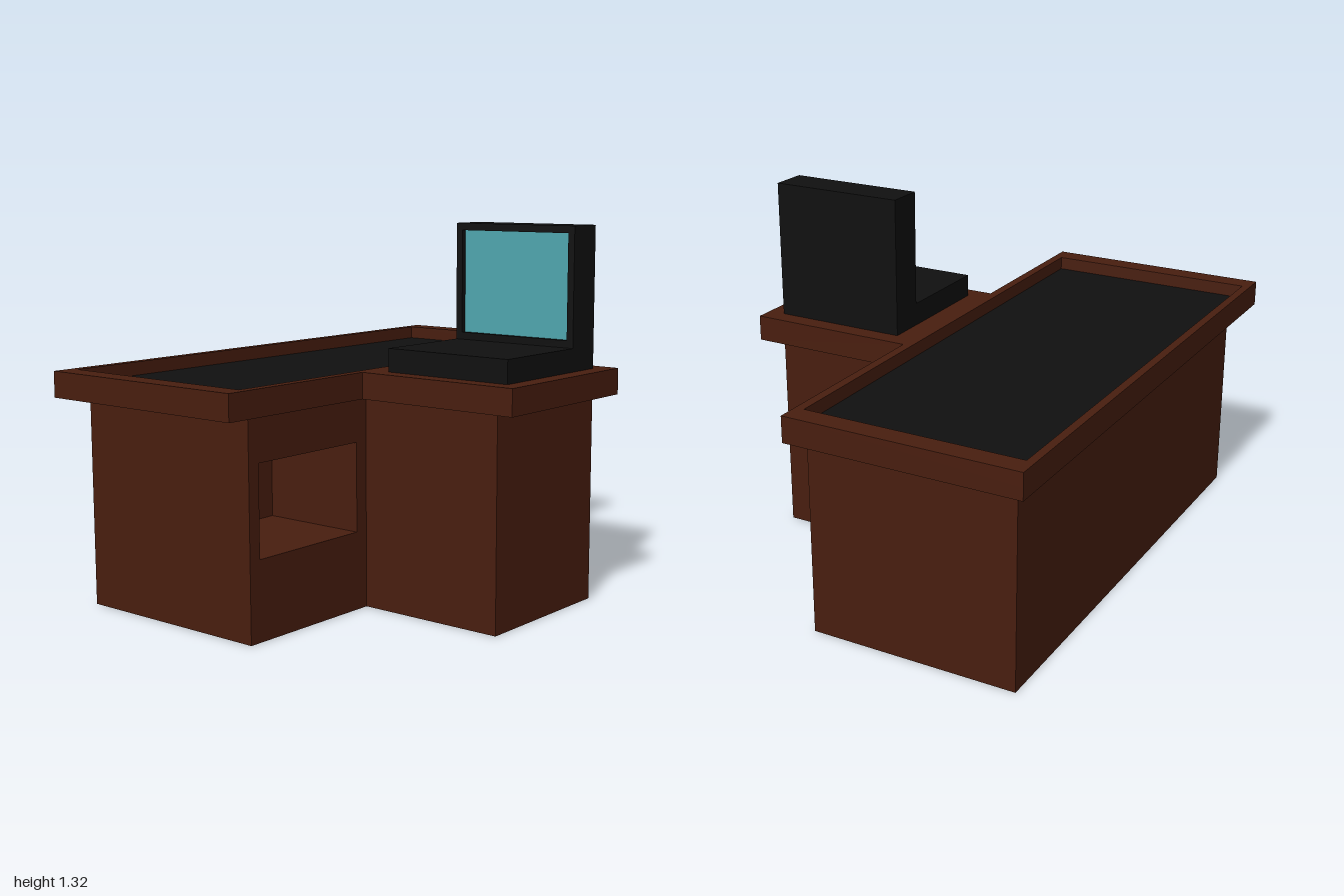
import * as THREE from 'three';

const wood = new THREE.MeshStandardMaterial({ color: 0x491e0f });
const black = new THREE.MeshStandardMaterial({ color: 0x101010 });
const teal = new THREE.MeshStandardMaterial({ color: 0x50a8b0 });

// Box given by its extents along each axis
function box(name, [x0, x1], [y0, y1], [z0, z1], material) {
  const geometry = new THREE.BoxGeometry(x1 - x0, y1 - y0, z1 - z0);
  geometry.translate((x0 + x1) / 2, (y0 + y1) / 2, (z0 + z1) / 2);
  const mesh = new THREE.Mesh(geometry, material);
  mesh.name = name;
  return mesh;
}

function rectangle(PathType, [u0, u1], [v0, v1]) {
  return new PathType([[u0, v0], [u1, v0], [u1, v1], [u0, v1]].map(p => new THREE.Vector2(...p)));
}

// Block with a rectangular pocket sunk into its local +z face
function pocketBlock(name, u, v, [w0, w1], pocketU, pocketV, depth, material, floorMaterial) {
  const group = new THREE.Group();
  group.name = name;
  const floor = w1 - depth;
  const shape = rectangle(THREE.Shape, u, v);
  shape.holes.push(rectangle(THREE.Path, pocketU, pocketV));
  const rim = new THREE.Mesh(new THREE.ExtrudeGeometry(shape, { depth, bevelEnabled: false }), material);
  rim.name = name + 'Rim';
  rim.position.z = floor;
  group.add(rim, box(name + 'Back', u, v, [w0, floor], material));
  if (floorMaterial) {
    const panel = new THREE.Mesh(
      new THREE.PlaneGeometry(pocketU[1] - pocketU[0], pocketV[1] - pocketV[0]), floorMaterial);
    panel.name = name + 'Panel';
    panel.position.set((pocketU[0] + pocketU[1]) / 2, (pocketV[0] + pocketV[1]) / 2, floor + 0.002);
    group.add(panel);
  }
  return group;
}

export function createModel() {
  const model = new THREE.Group();
  model.name = 'deskWithComputer';

  // Main cabinet with an open cubby in its front
  model.add(pocketBlock('cabinet', [-0.91, 0.88], [0, 0.735], [-0.652, 0.105],
    [-0.865, -0.39], [0.275, 0.588], 0.4, wood));

  // Main top with a sunken black writing surface
  const top = pocketBlock('deskTop', [-1, 1], [-0.113, 0.73], [0.735, 0.827],
    [-0.922, 0.922], [-0.08, 0.7], 0.05, wood, black);
  top.rotation.x = -Math.PI / 2;
  model.add(top);

  // Side wing
  model.add(box('wingCabinet', [-0.34, 0.23], [0, 0.735], [0.105, 0.655], wood));
  model.add(box('wingTop', [-0.367, 0.275], [0.735, 0.827], [0.113, 0.73], wood));

  // Computer, with its screen facing -x
  model.add(box('keyboard', [-0.305, 0.078], [0.827, 0.908], [0.177, 0.668], black));
  const monitor = pocketBlock('monitor', [0.177, 0.668], [0.827, 1.32], [-0.21, -0.078],
    [0.202, 0.643], [0.933, 1.295], 0.02, black, teal);
  monitor.rotation.y = -Math.PI / 2;
  model.add(monitor);

  return model;
}
